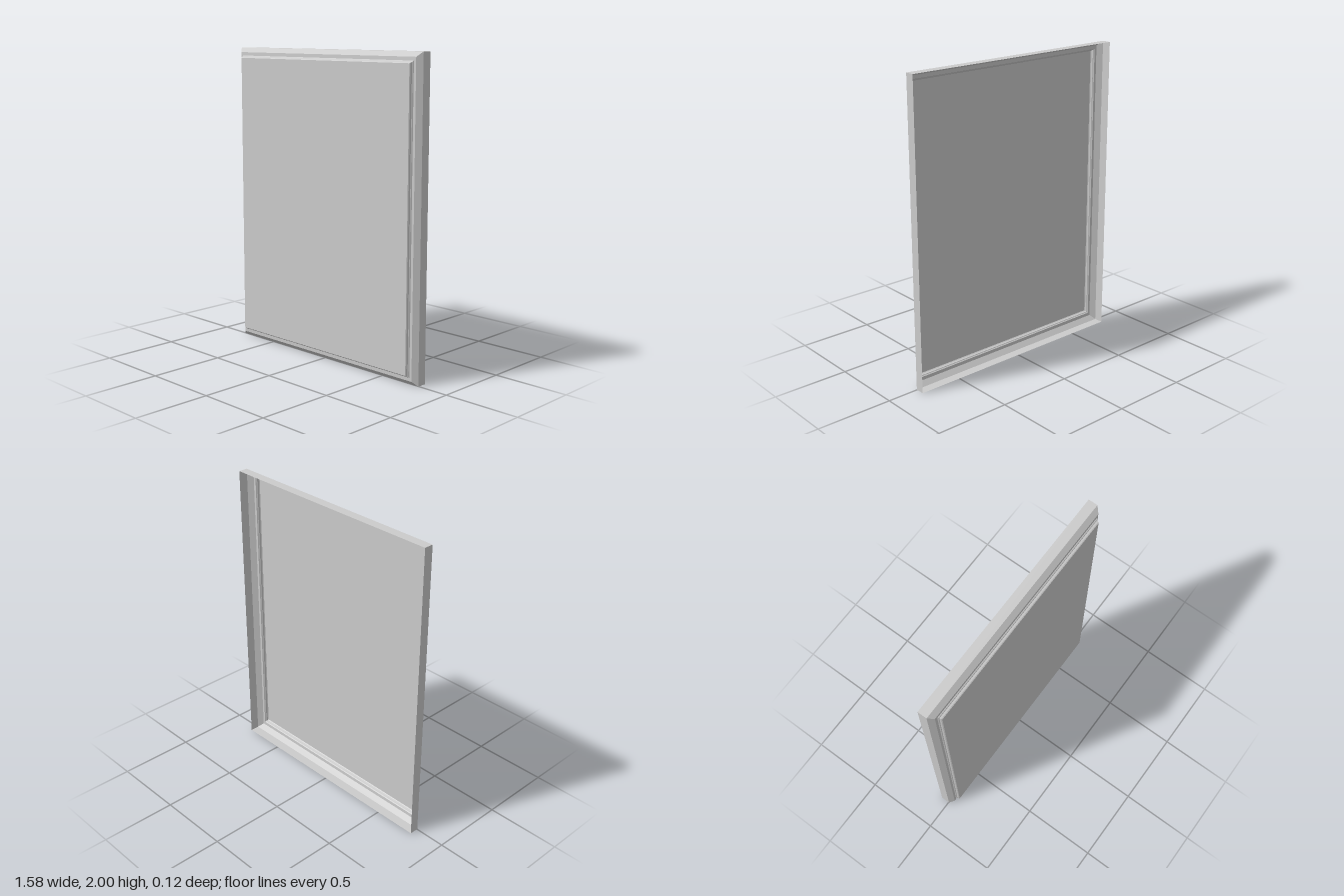
import * as THREE from 'three';

const HALF_W = 0.79, HALF_H = 1;

// Moulding profile, outside to inside: [side inset, top/bottom inset, depth z]
const PROFILE = [
  [0, 0, -0.058],
  [0, 0, 0.003],
  [0.03, 0.03, 0.033],
  [0.046, 0.052, 0.034],
  [0.05, 0.056, 0.04],
  [0.053, 0.06, 0.042],
  [0.055, 0.063, 0.053],
  [0.059, 0.067, 0.058],
];

// Corners of one profile ring, counter-clockwise seen from the front
function ring([ix, iy, z]) {
  const x = HALF_W - ix, y = HALF_H - iy;
  return [[-x, 1 - y, z], [x, 1 - y, z], [x, 1 + y, z], [-x, 1 + y, z]];
}

// One mitred length of moulding swept between two neighbouring corners
function railGeometry(side) {
  const pos = [];
  const next = (side + 1) % 4;
  for (let i = 0; i < PROFILE.length - 1; i++) {
    const outer = ring(PROFILE[i]), inner = ring(PROFILE[i + 1]);
    const a = outer[side], b = outer[next], c = inner[next], d = inner[side];
    pos.push(...a, ...b, ...c, ...a, ...c, ...d);
  }
  const geometry = new THREE.BufferGeometry();
  geometry.setAttribute('position', new THREE.Float32BufferAttribute(pos, 3));
  geometry.computeVertexNormals();
  return geometry;
}

export function createModel() {
  const group = new THREE.Group();
  group.name = 'framedPanel';
  const material = new THREE.MeshStandardMaterial({
    color: 0xcccccc, flatShading: true, side: THREE.DoubleSide,
  });

  // Four mitred mouldings, hollow at the back
  ['bottomMoulding', 'leftMoulding', 'topMoulding', 'rightMoulding'].forEach((name, side) => {
    const rail = new THREE.Mesh(railGeometry(side), material);
    rail.name = name;
    group.add(rail);
  });

  // Flat raised face closing the front
  const [ix, iy, z] = PROFILE[PROFILE.length - 1];
  const panel = new THREE.Mesh(
    new THREE.PlaneGeometry(2 * (HALF_W - ix), 2 * (HALF_H - iy)), material);
  panel.name = 'facePanel';
  panel.position.set(0, 1, z);
  group.add(panel);

  return group;
}
